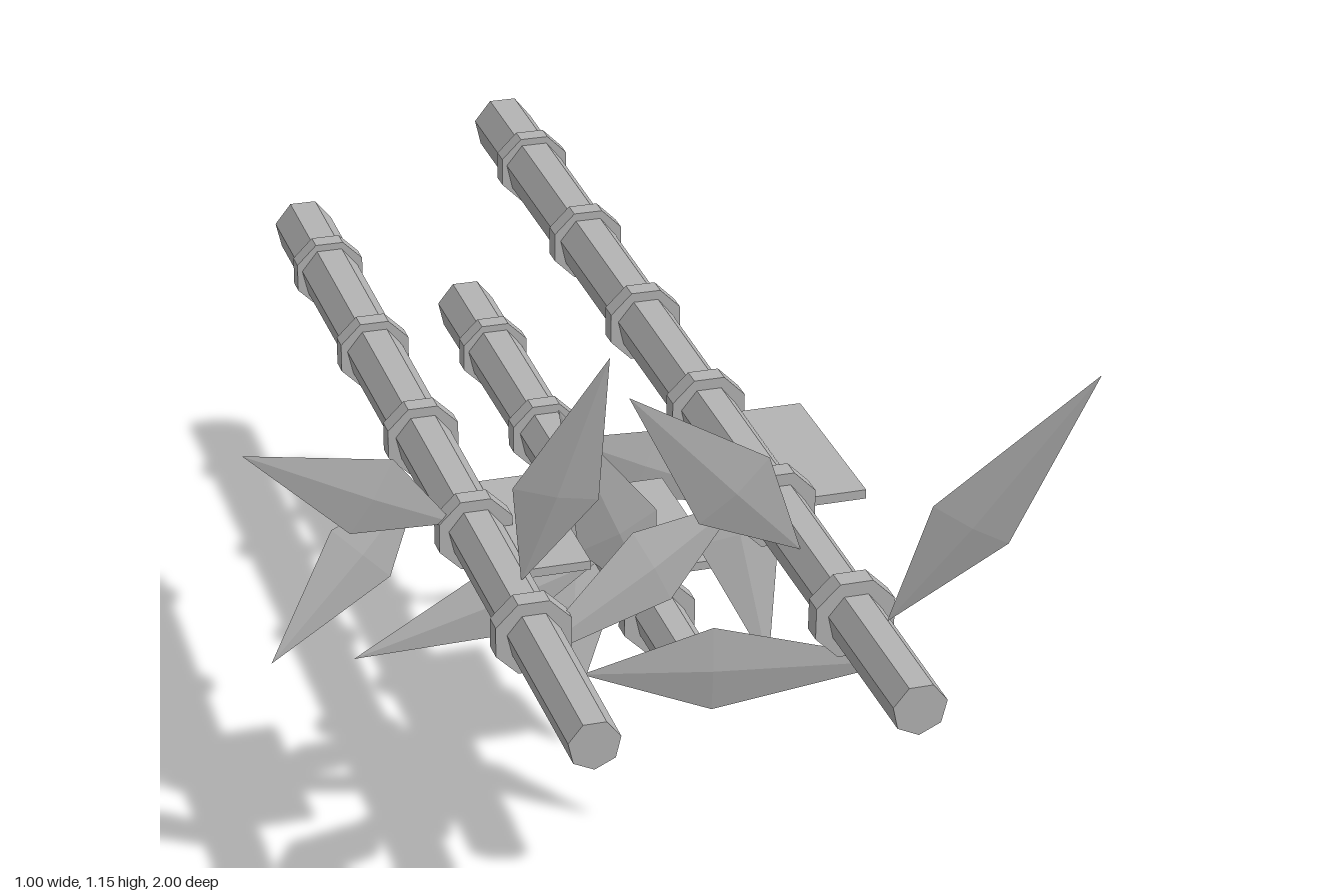
import * as THREE from 'three';

const BACK = -1, LEAF_TILT = 0.19, STEM = 0.035;
const RING_Z = [0.745, 0.43, 0.12, -0.19, -0.5, -0.815];

// Each cane: axis position, front end, side plate start, leaves as [tip x, tip y, root z]
const CANES = [
  { x: 0.21, y: 0.757, front: 1.0, plateZ: 0.295, leaves: [
    [0.47, 1.155, 0.825], [-0.085, 1.09, 0.605], [-0.17, 0.567, 0.375], [0.28, 0.37, 0.165]] },
  { x: -0.145, y: 0.608, front: 0.74, plateZ: 0.13, leaves: [
    [0.335, 0.607, 0.56], [-0.03, 1.015, 0.345], [-0.5, 0.82, 0.125], [-0.425, 0.34, -0.095]] },
  { x: 0.14, y: 0.42, front: 0.33, plateZ: -0.14, leaves: [
    [-0.05, 0.85, 0.155], [-0.305, 0.35, -0.07], [0.09, 0.005, -0.28], [0.5, 0.275, -0.49]] },
];

// Flat faceted leaf growing along +y from the origin, widest below the middle
function leafGeometry(length) {
  const g = new THREE.OctahedronGeometry(1, 0);
  const p = g.attributes.position;
  for (let i = 0; i < p.count; i++) {
    const y = p.getY(i);
    const t = y < -0.5 ? 0 : y > 0.5 ? 1 : 0.4;
    p.setXYZ(i, p.getX(i) * 0.065, t * length, p.getZ(i) * 0.008);
  }
  g.computeVertexNormals();
  return g;
}

export function createModel() {
  const model = new THREE.Group();
  const grey = new THREE.MeshStandardMaterial({ color: 0xb4b4b4, flatShading: true });
  grey.name = 'grey';

  const add = (parent, name, geometry) => {
    const mesh = new THREE.Mesh(geometry, grey);
    mesh.name = name;
    parent.add(mesh);
    return mesh;
  };

  for (const { x, y, front, plateZ, leaves } of CANES) {
    const cane = new THREE.Group();
    cane.name = 'cane';
    cane.position.set(x, y, 0);
    model.add(cane);

    // Tapered stalk
    const length = front - BACK;
    const stalk = new THREE.CylinderGeometry(0.038, 0.05, length, 7).rotateX(Math.PI / 2);
    add(cane, 'stalk', stalk).position.z = (front + BACK) / 2;

    // Raised joints
    for (const z of RING_Z.filter((r) => r < front)) {
      const ring = new THREE.CylinderGeometry(0.06, 0.06, 0.03, 8, 1, false, Math.PI / 8).rotateX(Math.PI / 2);
      add(cane, 'joint', ring).position.z = z;
    }

    // Flat plate on the side
    add(cane, 'sidePlate', new THREE.BoxGeometry(0.1, 0.014, 0.28)).position.set(0.085, 0, plateZ);

    // Leaves fan around the stalk and lean forward
    for (const [tipX, tipY, rootZ] of leaves) {
      const dx = tipX - x, dy = tipY - y;
      const angle = Math.atan2(dy, dx);
      const reach = (Math.hypot(dx, dy) - STEM) / Math.cos(LEAF_TILT);
      const leaf = add(cane, 'leaf', leafGeometry(reach));
      leaf.rotation.order = 'ZXY';
      leaf.rotation.set(LEAF_TILT, 0, angle - Math.PI / 2);
      leaf.position.set(Math.cos(angle) * STEM, Math.sin(angle) * STEM, rootZ);
    }
  }
  return model;
}
